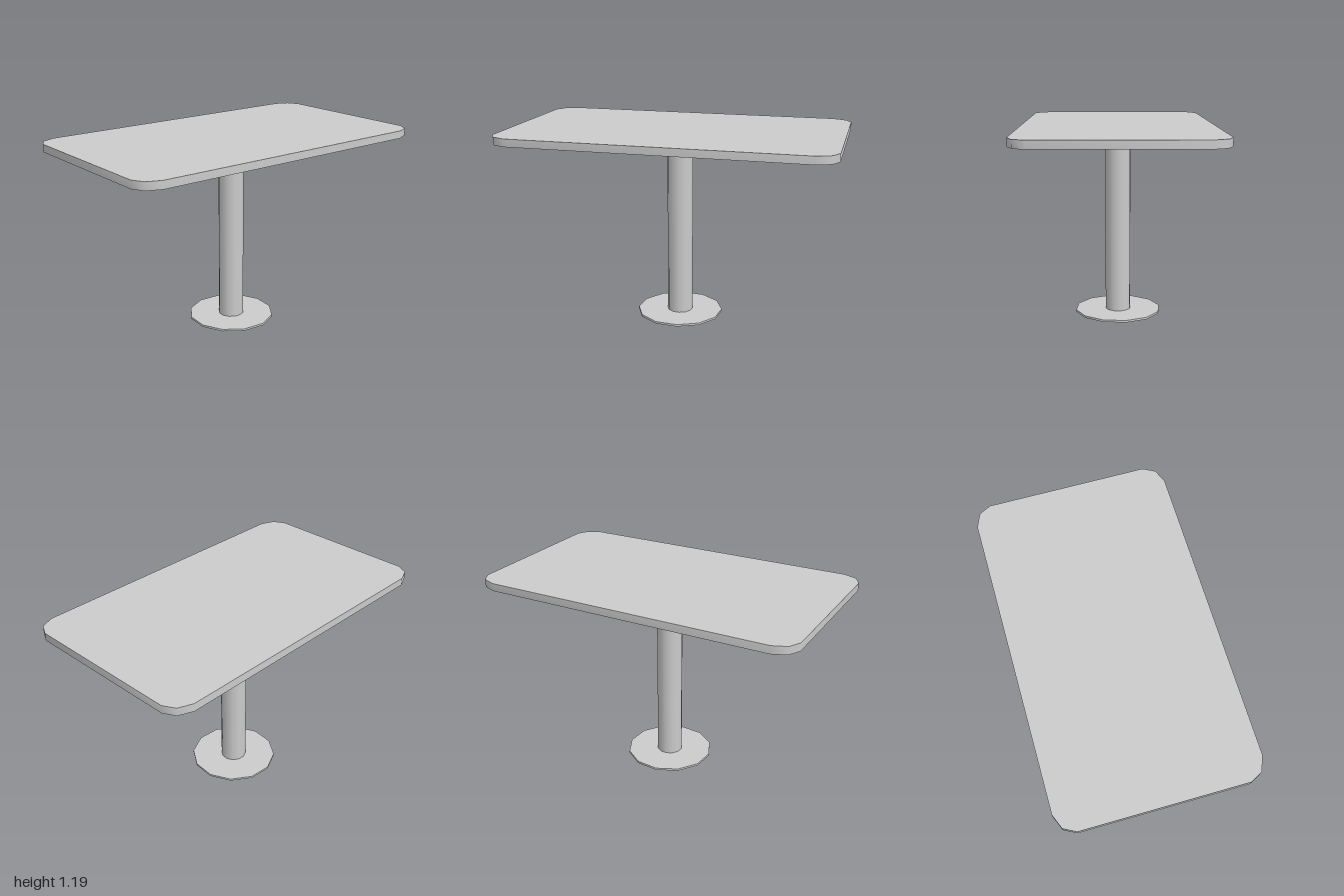
import * as THREE from 'three';
import { toCreasedNormals } from 'three/addons/utils/BufferGeometryUtils.js';

export function createModel() {
  const group = new THREE.Group();
  const material = new THREE.MeshStandardMaterial({ color: 0xcccccc });

  function add(name, geometry) {
    const mesh = new THREE.Mesh(geometry, material);
    mesh.name = name;
    group.add(mesh);
    return mesh;
  }

  // Tabletop: rectangle with two-step clipped corners, smooth around the rim
  const corner = [[0.577, 0.88], [0.543, 0.963], [0.473, 1]];
  const outline = [];
  for (const [sx, sz] of [[1, 1], [-1, 1], [-1, -1], [1, -1]]) {
    const points = sx * sz > 0 ? corner : [...corner].reverse();
    for (const [x, z] of points) outline.push(new THREE.Vector2(x * sx, z * sz));
  }
  const slab = new THREE.ExtrudeGeometry(new THREE.Shape(outline), { depth: 0.047, bevelEnabled: false });
  slab.rotateX(-Math.PI / 2);
  add('tabletop', toCreasedNormals(slab, Math.PI / 4)).position.y = 1.145;

  // Twelve-sided round parts sharing one slightly off-centre axis
  function addRound(name, radius, bottom, top) {
    const mesh = add(name, new THREE.CylinderGeometry(radius, radius, top - bottom, 12));
    mesh.position.set(-0.002, (bottom + top) / 2, -0.007);
    mesh.rotation.y = THREE.MathUtils.degToRad(10);
  }
  addRound('pedestalPole', 0.079, 0.012, 1.145);
  addRound('basePlate', 0.269, 0, 0.013);

  return group;
}
